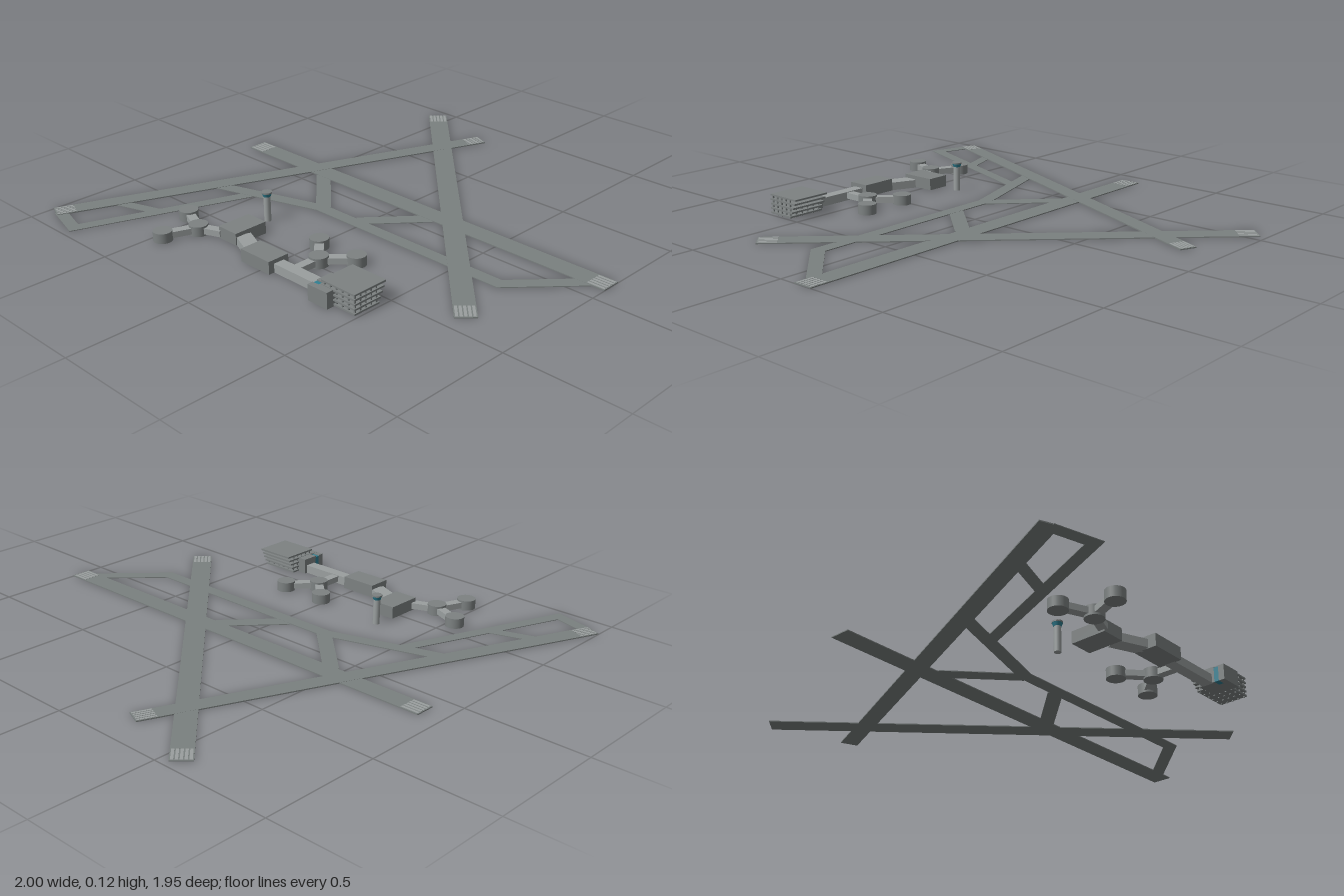
import * as THREE from 'three';

const paint = (color) => new THREE.MeshStandardMaterial({ color, side: THREE.DoubleSide });

export function createModel() {
  const root = new THREE.Group();
  const asphalt = paint(0x7a807f), wall = paint(0x7d8282), light = paint(0x9a9f9f), glass = paint(0x2f7f92);

  function add(parent, name, geometry, material) {
    const mesh = new THREE.Mesh(geometry, material);
    mesh.name = name;
    parent.add(mesh);
    return mesh;
  }
  function group(name) {
    const g = new THREE.Group();
    g.name = name;
    root.add(g);
    return g;
  }

  // Mitred band of constant width along [x, z] points, between two heights
  function band(parent, name, path, width, y0, y1, material) {
    const pts = path.map(([x, z]) => new THREE.Vector2(x, z));
    const left = [], right = [];
    pts.forEach((p, i) => {
      const before = pts[Math.max(i - 1, 0)], after = pts[Math.min(i + 1, pts.length - 1)];
      const dIn = (i ? p.clone().sub(before) : after.clone().sub(p)).normalize();
      const dOut = (i < pts.length - 1 ? after.clone().sub(p) : dIn.clone()).normalize();
      const nIn = new THREE.Vector2(-dIn.y, dIn.x), nOut = new THREE.Vector2(-dOut.y, dOut.x);
      const mitre = nIn.clone().add(nOut).normalize();
      mitre.multiplyScalar(width / 2 / mitre.dot(nIn));
      left.push(p.clone().add(mitre));
      right.unshift(p.clone().sub(mitre));
    });
    const geometry = new THREE.ExtrudeGeometry(new THREE.Shape([...left, ...right]), { depth: y1 - y0, bevelEnabled: false });
    geometry.rotateX(Math.PI / 2).translate(0, y1, 0);
    return add(parent, name, geometry, material);
  }
  function block(parent, name, [x0, x1], [y0, y1], [z0, z1], material) {
    const geometry = new THREE.BoxGeometry(x1 - x0, y1 - y0, z1 - z0);
    geometry.translate((x0 + x1) / 2, (y0 + y1) / 2, (z0 + z1) / 2);
    return add(parent, name, geometry, material);
  }

  // Runways with threshold stripes at both ends
  const runways = group('runways');
  const runwayList = [
    [[-0.915, -0.113], [1, -0.113], 0.085],
    [[-0.57, -0.946], [0.77, 0.414], 0.083],
    [[-0.225, -0.856], [-0.967, 0.911], 0.072],
  ];
  runwayList.forEach(([a, b, width], i) => {
    const top = 0.004 + i * 0.0003;
    band(runways, 'runway', [a, b], width, 0, top, asphalt);
    const A = new THREE.Vector2(...a), B = new THREE.Vector2(...b);
    for (const [end, other] of [[A, B], [B, A]]) {
      const dir = other.clone().sub(end).normalize();
      const side = new THREE.Vector2(-dir.y, dir.x);
      for (let k = -2; k <= 2; k++) {
        const start = end.clone().addScaledVector(side, k * width * 0.19).addScaledVector(dir, 0.004);
        const stop = start.clone().addScaledVector(dir, 0.075);
        band(runways, 'thresholdStripe', [start.toArray(), stop.toArray()], width * 0.13, top, top + 0.0008, light);
      }
    }
  });

  // Taxiways
  const taxiways = group('taxiways');
  const taxiList = [
    [[[-0.69, 0.293], [-0.225, 0.148], [0.7, 0.148], [0.925, -0.085]], 0.054],
    [[[-0.455, -0.085], [-0.22, 0.14]], 0.06],
    [[[0.165, -0.085], [-0.035, 0.135]], 0.06],
    [[[-0.525, 0.25], [-0.79, 0.942], [-0.95, 0.897]], 0.048],
    [[[-0.85, 0.682], [-0.67, 0.622]], 0.045],
  ];
  taxiList.forEach(([path, width], i) => band(taxiways, 'taxiway', path, width, 0, 0.0034 - i * 0.0002, asphalt));

  // Terminal halls
  const terminal = group('terminal');
  block(terminal, 'westHall', [-0.315, -0.215], [0, 0.05], [0.452, 0.602], wall);
  block(terminal, 'centralHall', [-0.105, 0.05], [0, 0.052], [0.575, 0.67], wall);
  band(terminal, 'hallLink', [[-0.22, 0.562], [-0.1, 0.612]], 0.062, 0, 0.034, light);
  band(terminal, 'eastConcourse', [[0.045, 0.621], [0.295, 0.621]], 0.047, 0, 0.036, light);

  // Concourses: round gate pods joined to a hub by walkways
  function concourse(name, root2, hub, pods) {
    const g = group(name);
    [root2, ...pods].forEach((p) => band(g, 'walkway', [hub, p], 0.036, 0.008, 0.033, light));
    [hub, ...pods].forEach(([x, z]) => {
      add(g, 'gatePod', new THREE.CylinderGeometry(0.038, 0.038, 0.041, 28).translate(x, 0.0205, z), wall);
    });
  }
  concourse('westConcourse', [-0.31, 0.592], [-0.405, 0.63], [[-0.535, 0.575], [-0.457, 0.762]]);
  concourse('northConcourse', [0.122, 0.605], [0.122, 0.49], [[0.02, 0.39], [0.22, 0.39]]);

  // Entrance building with a glazed corner
  const entrance = group('entranceBuilding');
  block(entrance, 'entranceHall', [0.32, 0.385], [0, 0.065], [0.585, 0.7], wall);
  block(entrance, 'entranceWing', [0.288, 0.32], [0, 0.065], [0.585, 0.655], wall);
  block(entrance, 'glazedCorner', [0.288, 0.32], [0, 0.06], [0.655, 0.675], glass);
  block(entrance, 'entrancePorch', [0.288, 0.32], [0, 0.064], [0.675, 0.7], wall);

  // Parking deck: floor slabs on a grid of columns, back edge stepping outwards
  const parking = group('parkingDeck');
  for (let i = 0; i < 5; i++) {
    const y = 0.004 + i * 0.0185;
    block(parking, 'floorSlab', [0.325, 0.49], [y, y + 0.007], [0.549 - i * 0.0085, 0.67], wall);
  }
  for (let i = 0; i < 6; i++) {
    for (let j = 0; j < 5; j++) {
      const x = 0.332 + i * 0.0295, z = 0.558 + j * 0.026;
      block(parking, 'column', [x, x + 0.006], [0, 0.08], [z - 0.003, z + 0.003], wall);
    }
  }

  // Control tower
  const tower = group('controlTower');
  tower.position.set(-0.297, 0, 0.37);
  add(tower, 'shaft', new THREE.CylinderGeometry(0.014, 0.014, 0.105, 20).translate(0, 0.0525, 0), light);
  add(tower, 'cab', new THREE.CylinderGeometry(0.02, 0.015, 0.014, 20).translate(0, 0.112, 0), glass);
  add(tower, 'cabRoof', new THREE.CylinderGeometry(0.021, 0.021, 0.006, 20).translate(0, 0.122, 0), wall);

  return root;
}
